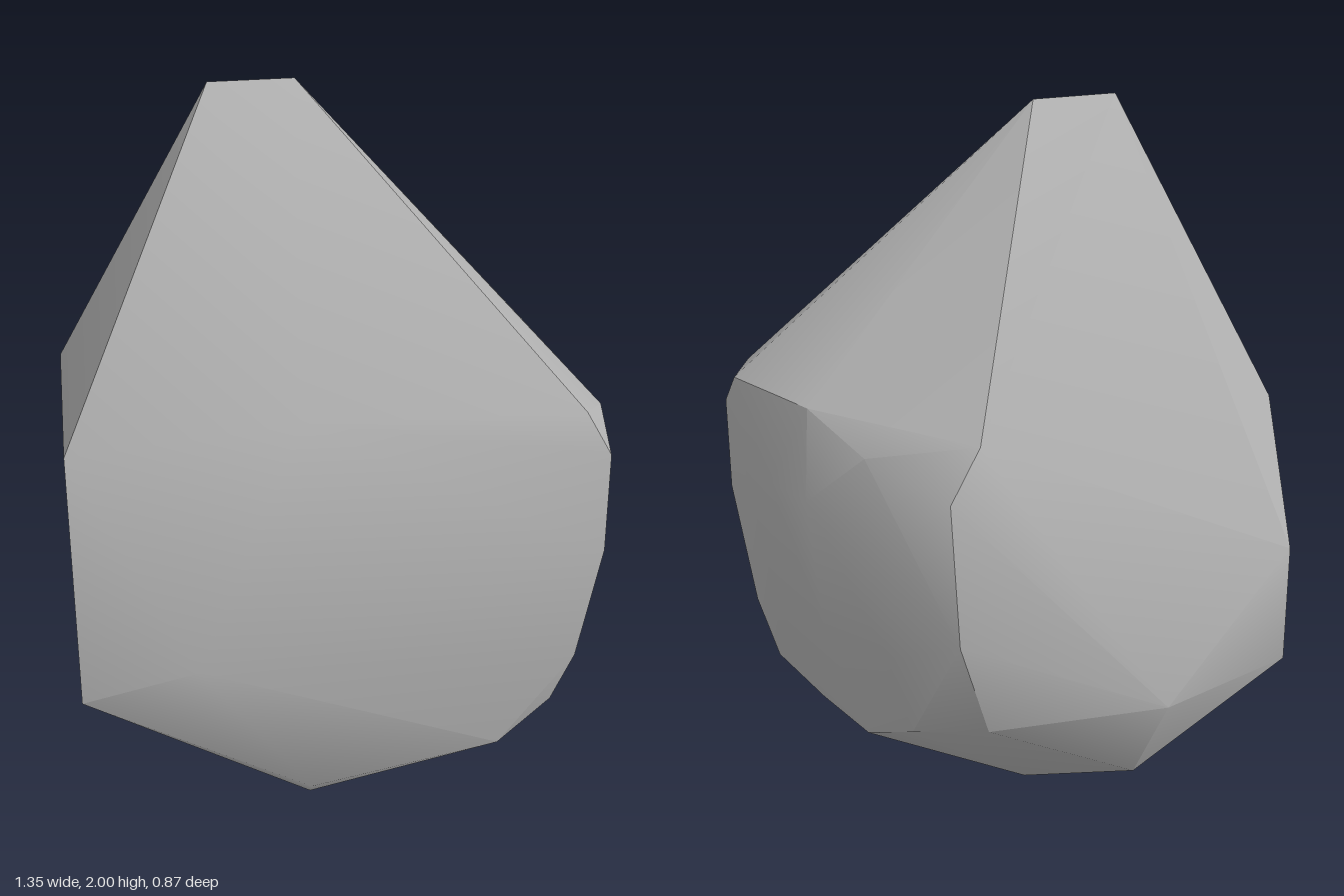
import * as THREE from 'three';
import { ConvexGeometry } from 'three/addons/geometries/ConvexGeometry.js';
import { toCreasedNormals } from 'three/addons/utils/BufferGeometryUtils.js';

// Corners of the stone, grouped by the facet they bound
const ridge = [[-0.28, 2, 0], [-0.07, 2, 0]];
const flatSide = [
  [-0.675, 1.19, 0.35], [-0.675, 1.2, -0.14], [-0.675, 0.85, -0.34],
  [-0.675, 0.52, -0.34], [-0.675, 0.435, -0.185], [-0.675, 0.43, 0.35],
];
const front = [[-0.1, 1.27, 0.39], [-0.37, 0.57, 0.435], [0.67, 0.85, 0.41], [0.62, 0.5, 0.385]];
const shoulder = [[0.66, 1.22, 0.3], [0.61, 1.24, 0.37], [0.675, 1.12, 0.385]];
const bulgeRim = [
  [0.53, 1.27, -0.06], [0.42, 1.19, -0.22], [0.17, 1.27, -0.395], [0.25, 1.13, -0.412],
  [0.23, 0.73, -0.415], [0.14, 0.43, -0.35], [0.3, 0.34, -0.16], [0.385, 0.24, 0.02],
  [0.475, 0.27, 0.19], [0.57, 0.33, 0.35],
];
const bulge = [
  [0.41, 0.98, -0.21], [0.54, 1.0, -0.04], [0.61, 1.0, 0.1], [0.655, 1.0, 0.24],
  [0.37, 0.6, -0.2], [0.5, 0.6, 0.0], [0.595, 0.6, 0.2],
];
const back = [[-0.32, 0.48, -0.435], [-0.286, 0.185, -0.27]];
const base = [[0.43, 0.2, 0.36], [-0.07, 0.05, 0.31], [-0.07, 0, 0.27], [-0.07, 0, 0.05], [-0.28, 0.04, 0]];

export function createModel() {
  const group = new THREE.Group();
  group.name = 'rock';

  const stone = new THREE.MeshStandardMaterial({ color: 0xb4b4b4 });
  stone.name = 'grey stone';

  // Convex stone: soft shading over the bulges, sharp main edges
  const points = [ridge, flatSide, front, shoulder, bulgeRim, bulge, back, base]
    .flat().map((p) => new THREE.Vector3(...p));
  const body = new THREE.Mesh(toCreasedNormals(new ConvexGeometry(points), 0.55), stone);
  body.name = 'stoneBody';
  group.add(body);
  return group;
}
